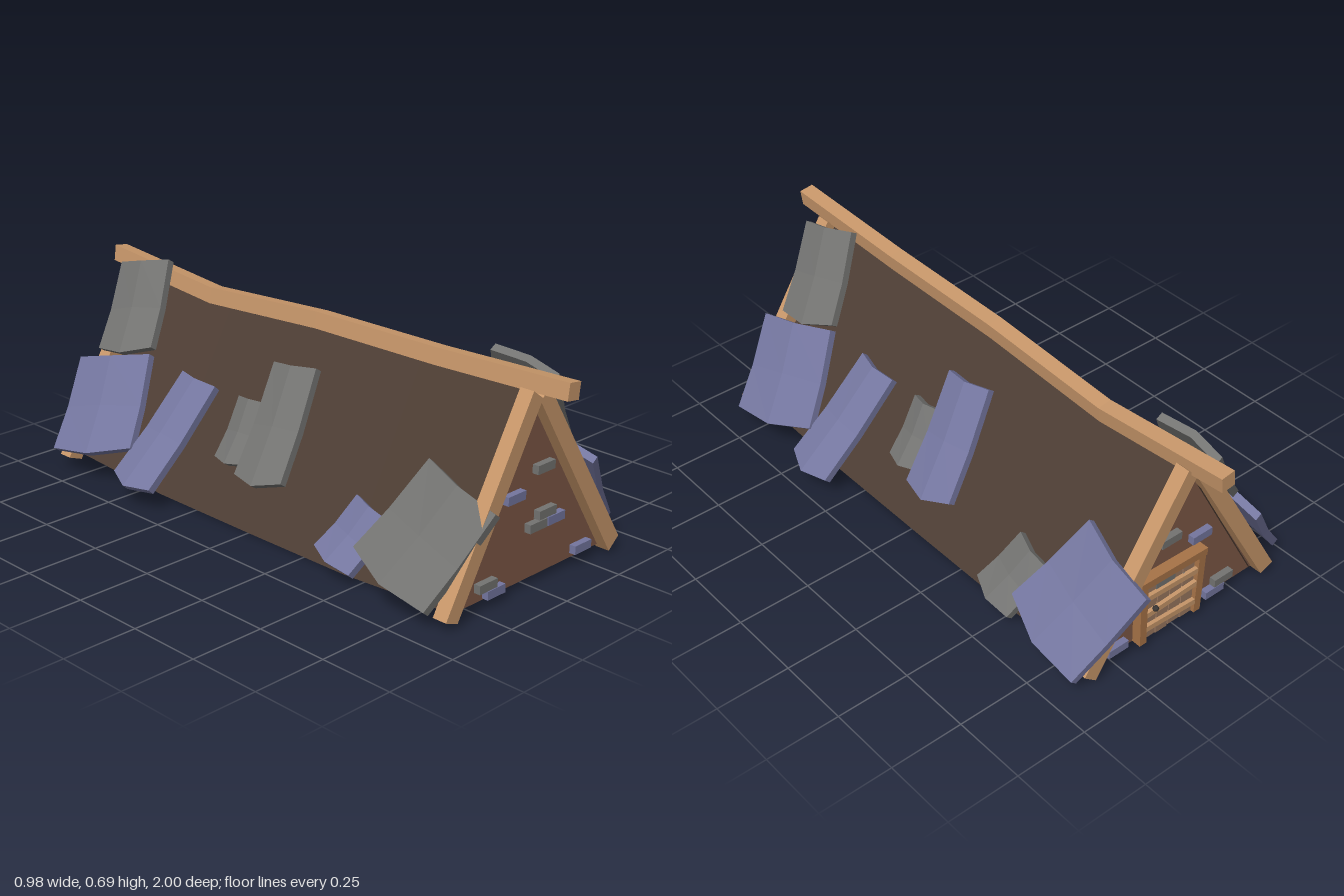
import * as THREE from 'three';

const mat = (color, side = THREE.FrontSide) =>
  new THREE.MeshStandardMaterial({ color, side, flatShading: true });
const wood = mat(0xc8976a), doorWood = mat(0x9a7860), frameWood = mat(0xa87448), iron = mat(0x3a3634);
const slate = mat(0x74769f), stone = mat(0x737371);
const roofMat = mat(0x4e3e34, THREE.DoubleSide), wallMat = mat(0x7e5846, THREE.DoubleSide);

function add(parent, name, geometry, material, x = 0, y = 0, z = 0) {
  const m = new THREE.Mesh(geometry, material);
  m.name = name;
  m.position.set(x, y, z);
  parent.add(m);
  return m;
}

// Moves every vertex of a geometry by a rule
function reshape(geometry, rule) {
  const p = geometry.attributes.position, v = new THREE.Vector3();
  for (let i = 0; i < p.count; i++) {
    rule(v.fromBufferAttribute(p, i));
    p.setXYZ(i, v.x, v.y, v.z);
  }
  geometry.computeVertexNormals();
  return geometry;
}

const polygon = pts => new THREE.Shape(pts.map(([x, y]) => new THREE.Vector2(x, y)));

// Ridge height at the five stations z = -1, -0.5, 0, 0.5, 1
const RIDGE = [0.653, 0.606, 0.635, 0.639, 0.655];
function ridgeY(z) {
  const s = Math.min(3.999, Math.max(0, (z + 1) * 2)), i = Math.floor(s);
  return THREE.MathUtils.lerp(RIDGE[i], RIDGE[i + 1], s - i);
}

// Sheet of one roof slope, open at the eaves
function roofSlope(s) {
  return reshape(new THREE.PlaneGeometry(1.7, 1, 4, 1), v => {
    const z = -v.x * s, up = v.y + 0.5;
    const eave = 0.002 + 0.026 * Math.max(0, Math.abs(z) - 0.4) / 0.45;
    v.set(THREE.MathUtils.lerp(s * 0.338, -0.015, up),
      THREE.MathUtils.lerp(eave, ridgeY(z) - 0.035, up), z);
  });
}

// Warped slab: creased along and across, slightly wider at the lower end
function tileGeometry(length, width, spin, slope) {
  const g = reshape(new THREE.BoxGeometry(length, 0.026, width, 2, 1, 2), v => {
    const a = v.x / length * 2, b = v.z / width * 2;
    v.y += 0.012 - 0.018 * b * b + 0.008 * a * a;
    v.z *= 1 + 0.05 * a;
    v.x += (a > 0 ? -0.07 : -0.02) * length * b * b * Math.abs(a);
  });
  return g.rotateY(spin).rotateZ(-slope);
}

// x, y, z, length, width, spin, slope
const TILES = [
  [0.33, 0.23, 0.68, 0.35, 0.34, 0.28, 0.95],
  [0.145, 0.525, 0.72, 0.33, 0.235, 0.25, 1.0],
  [0.325, 0.21, 0.375, 0.42, 0.18, -0.08, 0.82],
  [0.225, 0.265, 0.105, 0.22, 0.13, 0.05, 1.0],
  [0.21, 0.32, -0.04, 0.40, 0.19, 0.12, 0.98],
  [0.315, 0.12, -0.475, 0.21, 0.17, -0.25, 0.86],
  [0.305, 0.205, -0.75, 0.36, 0.33, -0.28, 0.9],
];

function tileSide(name, finishes) {
  const g = new THREE.Group();
  g.name = name;
  TILES.forEach(([x, y, z, ...shape], i) =>
    add(g, 'roofTile', tileGeometry(...shape), finishes[i], x, y, z));
  return g;
}

// x, y, finish of each brick in a gable wall
const BRICKS = [
  [0.043, 0.373, stone], [-0.088, 0.314, slate], [0.058, 0.225, stone], [0.017, 0.194, stone],
  [0.1, 0.194, slate], [-0.202, 0.074, stone], [-0.166, 0.044, slate], [0.238, 0.054, slate],
];

const BOARDS = [
  [[-0.405, 0.036], [-0.355, 0.017], [-0.012, 0.605], [-0.055, 0.637]],
  [[0.39, 0.05], [0.345, 0.012], [-0.022, 0.598], [0.018, 0.633]],
];

// Gable end: wall, bricks set through it, and two edge boards
function gable(name, z) {
  const g = new THREE.Group();
  g.name = name;
  add(g, 'gableWall', new THREE.ShapeGeometry(
    polygon([[-0.35, 0.025], [0.35, 0.025], [-0.018, 0.605]])), wallMat, 0, 0, z);
  for (const [x, y, m] of BRICKS)
    add(g, 'brick', new THREE.BoxGeometry(0.078, 0.028, 0.045), m, x, y, z);
  for (const pts of BOARDS)
    add(g, 'edgeBoard', new THREE.ExtrudeGeometry(polygon(pts), { depth: 0.05, bevelEnabled: false }),
      wood, 0, 0, z > 0 ? z - 0.01 : z - 0.04);
  return g;
}

// Rustic plank door in a crooked frame, facing -z
function door() {
  const g = new THREE.Group();
  g.name = 'door';
  for (let i = 0; i < 4; i++)
    add(g, 'doorPlank', new THREE.BoxGeometry(0.047, 0.215 - 0.008 * (i % 2), 0.02), doorWood,
      -0.076 + i * 0.051, 0.132, 0);
  for (const [y, tilt] of [[0.075, 0.05], [0.14, -0.04], [0.2, 0.04]])
    add(g, 'doorBatten', new THREE.BoxGeometry(0.205, 0.02, 0.016), wood, 0, y, -0.015).rotation.z = tilt;
  for (const s of [-1, 1])
    add(g, 'doorPost', new THREE.BoxGeometry(0.027, 0.24, 0.04), frameWood, s * 0.116, 0.145, -0.003)
      .rotation.z = s * -0.03;
  add(g, 'doorLintel', new THREE.BoxGeometry(0.27, 0.027, 0.046), frameWood, 0, 0.262, -0.003).rotation.z = 0.03;
  add(g, 'doorKnob', new THREE.IcosahedronGeometry(0.011, 0), iron, 0.075, 0.155, -0.028);
  return g;
}

export function createModel() {
  const model = new THREE.Group();
  model.name = 'cabin';

  add(model, 'roofRight', roofSlope(-1), roofMat);
  add(model, 'roofLeft', roofSlope(1), roofMat);

  // Sagging ridge beam, rolled slightly
  const beam = new THREE.BoxGeometry(0.05, 0.054, 2, 1, 1, 4).rotateZ(-0.14);
  add(model, 'ridgeBeam', reshape(beam, v => { v.y += ridgeY(v.z); }), wood, -0.015);

  model.add(gable('frontGable', 0.85), gable('backGable', -0.84));

  const d = door();
  d.position.set(0.035, 0, -0.85);
  model.add(d);

  // Loose tiles: the second side is the first turned half round
  const left = tileSide('leftTiles', [slate, stone, slate, stone, slate, stone, slate]);
  const right = tileSide('rightTiles', [slate, stone, slate, stone, stone, slate, stone]);
  right.rotation.y = Math.PI;
  right.position.z = -0.04;
  model.add(left, right);
  return model;
}
